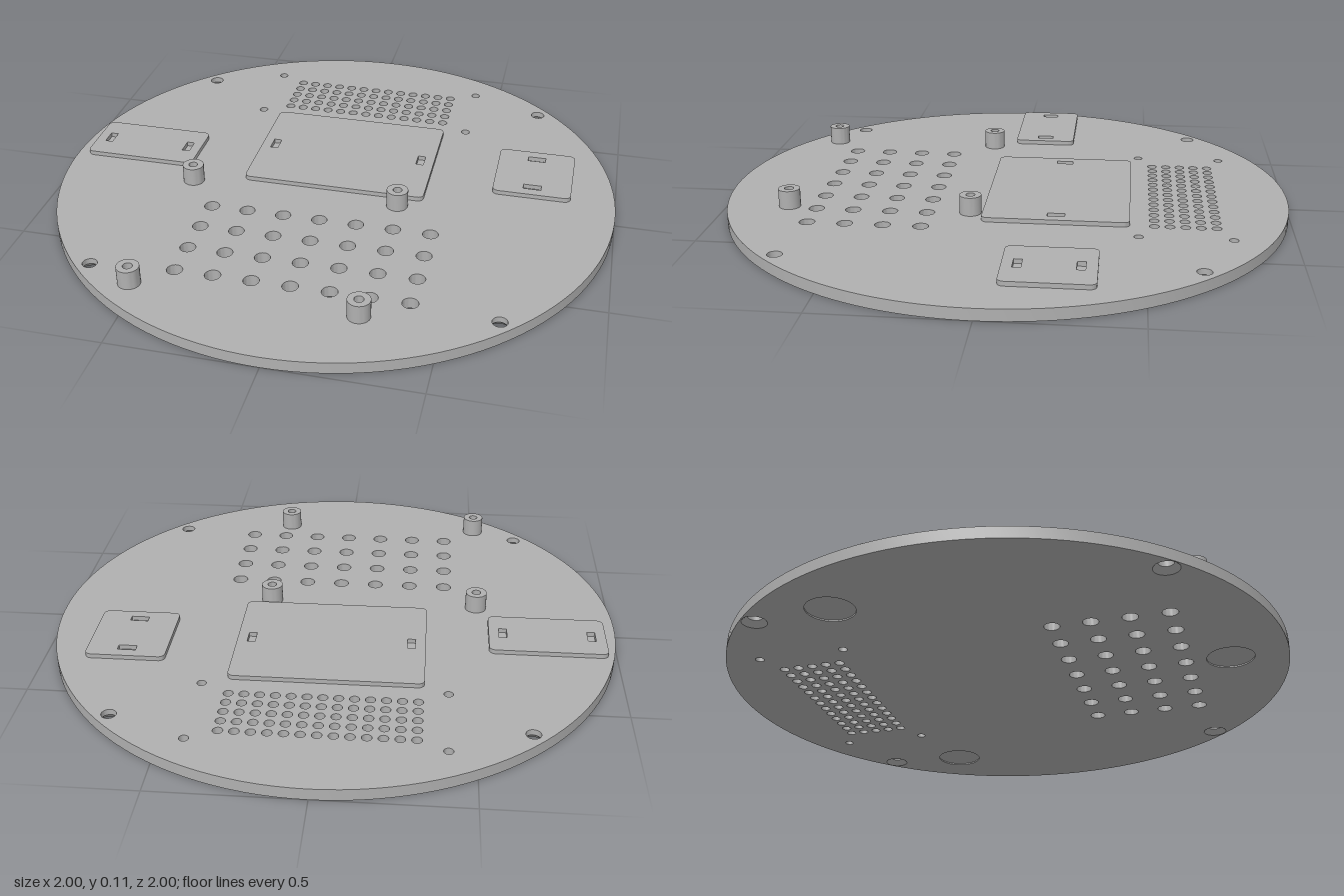
import * as THREE from 'three';
import { mergeGeometries, toCreasedNormals } from 'three/addons/utils/BufferGeometryUtils.js';

const TOP = 0.04;       // upper face of the disc
const PLATE_TOP = 0.056;
const RECESS = 0.005;   // depth of the foot recesses underneath

// Points of a circle centred on (x, y)
function ring(x, y, r, n) {
  return Array.from({ length: n }, (_, i) => {
    const a = (i / n) * Math.PI * 2;
    return new THREE.Vector2(x + r * Math.cos(a), y + r * Math.sin(a));
  });
}

// Revolved profile of [radius, height] pairs, standing at (x, z)
function turned(profile, x, z, n = 24) {
  const g = new THREE.LatheGeometry(profile.map(([r, y]) => new THREE.Vector2(r, y)), n);
  return g.translate(x, 0, z);
}

// Round face of the disc, pierced by holes; dir = 1 faces up, -1 faces down
function discFace(holes, y, dir) {
  const shape = new THREE.Shape(ring(0, 0, 1, 128));
  for (const [x, z, r, n] of holes) shape.holes.push(new THREE.Path(ring(x, -dir * z, r, n)));
  return new THREE.ShapeGeometry(shape).rotateX(-dir * Math.PI / 2).translate(0, y, 0);
}

// Rounded plate with rectangular slots, given in x / z
function slottedPlate(x, z, w, d, slots) {
  const r = 0.022, a = w / 2, b = d / 2;
  const s = new THREE.Shape();
  s.absarc(a - r, b - r, r, 0, Math.PI / 2);
  s.absarc(-a + r, b - r, r, Math.PI / 2, Math.PI);
  s.absarc(-a + r, -b + r, r, Math.PI, Math.PI * 1.5);
  s.absarc(a - r, -b + r, r, Math.PI * 1.5, Math.PI * 2);
  for (const [sx, sz, sw, sd] of slots) {
    const cx = sx - x, cy = z - sz, p = sw / 2, q = sd / 2;
    s.holes.push(new THREE.Path([[-p, -q], [-p, q], [p, q], [p, -q]]
      .map(([u, v]) => new THREE.Vector2(cx + u, cy + v))));
  }
  const g = new THREE.ExtrudeGeometry(s, { depth: PLATE_TOP - TOP, bevelEnabled: false, curveSegments: 6 });
  return toCreasedNormals(g.rotateX(-Math.PI / 2).translate(x, TOP, z), 0.6);
}

export function createModel() {
  const group = new THREE.Group();
  const grey = new THREE.MeshStandardMaterial({ color: 0xb0b0b0 });
  grey.name = 'grey';
  const add = (name, geometry) => {
    const mesh = new THREE.Mesh(geometry, grey);
    mesh.name = name;
    group.add(mesh);
  };

  // Straight through holes: large vent grid, fine vent grid, small screw holes
  const through = [];
  for (let i = -3; i <= 3; i++)
    for (let j = 0; j < 4; j++) through.push([i * 0.13, 0.255 + j * 0.13, 0.027, 24]);
  for (let i = -6; i <= 6; i++)
    for (let j = 0; j < 5; j++) through.push([i * 0.052, -0.734 + j * 0.052, 0.017, 16]);
  for (const x of [-0.41, 0.41])
    for (const z of [-0.783, -0.473]) through.push([x, z, 0.016, 16]);

  // Countersunk mounting holes, wider underneath
  const mounts = [];
  for (const x of [-0.674, 0.674]) for (const z of [-0.674, 0.674]) mounts.push([x, z]);

  // Three round foot recesses on the underside
  const feet = [90, 210, 330].map((deg) => {
    const a = deg * Math.PI / 180;
    return [0.8 * Math.cos(a), 0.8 * Math.sin(a)];
  });

  // Base disc: two faces, rim and the walls of every hole
  const parts = [
    discFace([...through, ...mounts.map(([x, z]) => [x, z, 0.025, 24])], TOP, 1),
    discFace([...through, ...mounts.map(([x, z]) => [x, z, 0.043, 24]),
      ...feet.map(([x, z]) => [x, z, 0.083, 48])], 0, -1),
    turned([[1, 0], [1, TOP]], 0, 0, 128),
    ...through.map(([x, z, r, n]) => turned([[r, TOP], [r, 0]], x, z, n)),
    ...mounts.map(([x, z]) => turned([[0.025, TOP], [0.025, 0.02], [0.043, 0]], x, z)),
    ...feet.map(([x, z]) => turned([[0, RECESS], [0.083, RECESS], [0.083, 0]], x, z, 48)),
  ];
  add('baseDisc', toCreasedNormals(mergeGeometries(parts), 0.6));

  // Raised mounting plates with strap slots
  add('centrePlate', slottedPlate(0, -0.192, 0.66, 0.504,
    [[-0.28, -0.193, 0.028, 0.06], [0.28, -0.193, 0.028, 0.06]]));
  add('rightPlate', slottedPlate(-0.755, -0.095, 0.41, 0.23,
    [[-0.91, -0.095, 0.028, 0.06], [-0.6, -0.095, 0.028, 0.06]]));
  add('leftPlate', slottedPlate(0.702, -0.2, 0.278, 0.3,
    [[0.702, -0.298, 0.064, 0.028], [0.702, -0.1, 0.064, 0.028]]));

  // Standoff posts with blind screw bores
  for (const x of [-0.508, 0.246])
    for (const z of [0.105, 0.744])
      add('standoff', toCreasedNormals(turned(
        [[0.038, TOP], [0.038, 0.106], [0.016, 0.106], [0.016, 0.045], [0, 0.045]], x, z, 32), 0.6));

  return group;
}
